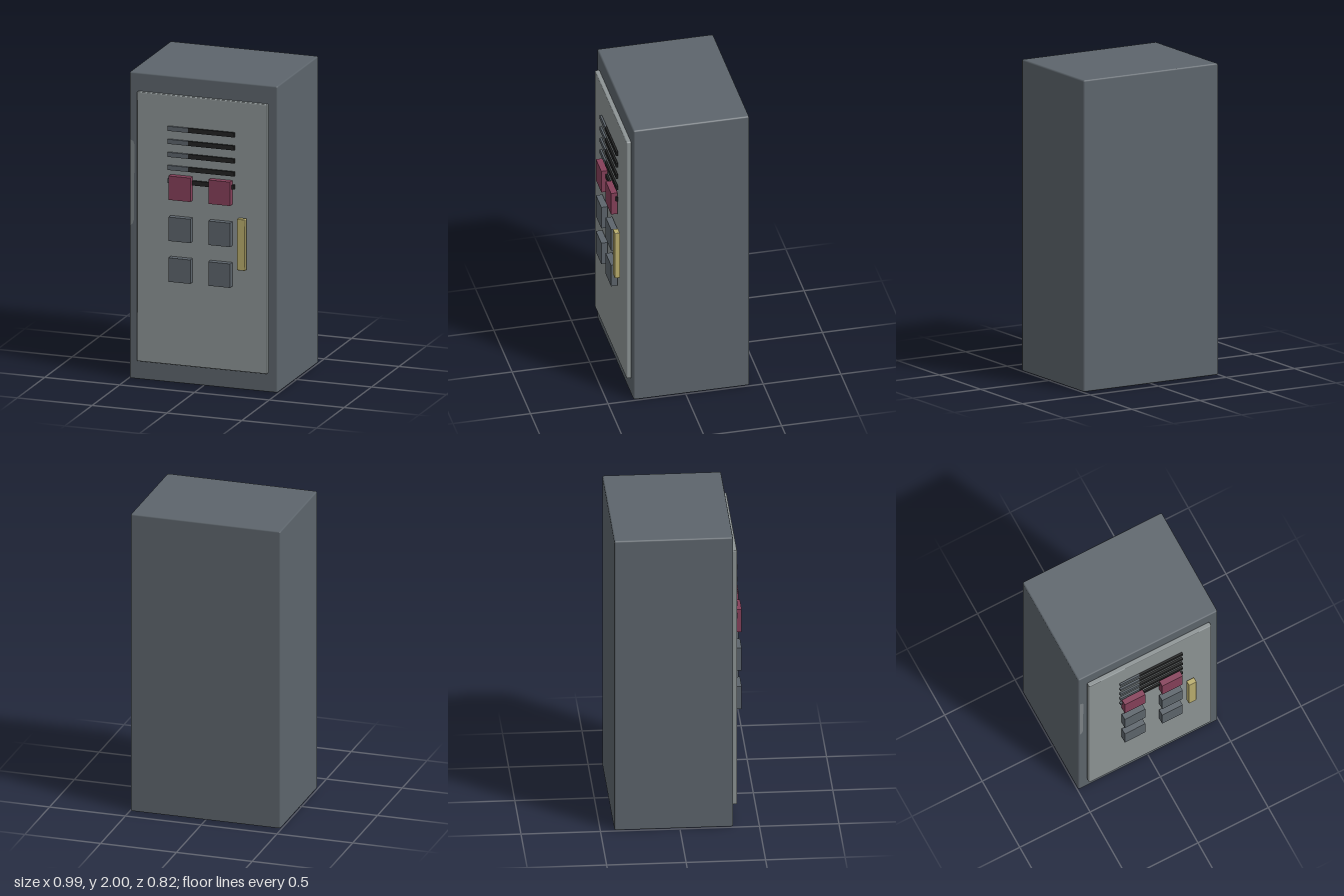
import * as THREE from 'three';
import { RoundedBoxGeometry } from 'three/addons/geometries/RoundedBoxGeometry.js';

const material = (name, color) => new THREE.MeshStandardMaterial({ name, color });

export function createModel() {
  const slate = material('slate', 0x5d656c);
  const paleGrey = material('pale grey', 0x8d9495);
  const black = material('black', 0x222323);
  const crimson = material('crimson', 0x86405a);
  const brass = material('brass', 0xbaae6e);
  const wornGrey = material('worn grey', 0x7d8487);

  const model = new THREE.Group();
  model.name = 'controlCabinet';

  // Adds a box between two corners, with an optional chamfer
  function addBox(name, mat, [x0, y0, z0], [x1, y1, z1], chamfer = 0) {
    const size = [x1 - x0, y1 - y0, z1 - z0];
    const geometry = chamfer
      ? new RoundedBoxGeometry(...size, 1, chamfer)
      : new THREE.BoxGeometry(...size);
    const mesh = new THREE.Mesh(geometry, mat);
    mesh.name = name;
    mesh.position.set((x0 + x1) / 2, (y0 + y1) / 2, (z0 + z1) / 2);
    model.add(mesh);
  }

  // Cabinet body and door panel
  addBox('cabinet', slate, [-0.495, 0, -0.412], [0.495, 2, 0.335], 0.01);
  addBox('door', paleGrey, [-0.435, 0.125, 0.334], [0.435, 1.882, 0.365], 0.007);

  // Vent slats, each with a slate end
  for (let i = 0; i < 5; i++) {
    const y = 1.668 - i * 0.085;
    addBox('ventSlat', black, [-0.085, y - 0.015, 0.37], [0.222, y + 0.015, 0.383]);
    addBox('ventSlatEnd', slate, [-0.222, y - 0.015, 0.37], [-0.085, y + 0.015, 0.383]);
  }

  // Two columns of square buttons, top row crimson
  [1.29, 1.022, 0.756].forEach((y, row) => {
    for (const side of [-1, 1]) {
      const x = side * 0.133;
      addBox('button', row === 0 ? crimson : slate,
        [x - 0.073, y - 0.078, 0.37], [x + 0.073, y + 0.078, 0.411]);
    }
  });

  // Door handle
  addBox('handle', brass, [0.25, 0.797, 0.376], [0.305, 1.132, 0.411], 0.005);

  // Worn strip on the front edge of the frame
  const outline = [[-0.486, 1.0], [-0.474, 1.01], [-0.463, 1.04], [-0.461, 1.53], [-0.468, 1.55], [-0.486, 1.558]];
  const strip = new THREE.Mesh(
    new THREE.ShapeGeometry(new THREE.Shape(outline.map(([x, y]) => new THREE.Vector2(x, y)))),
    wornGrey);
  strip.name = 'wornStrip';
  strip.position.z = 0.337;
  model.add(strip);

  return model;
}
